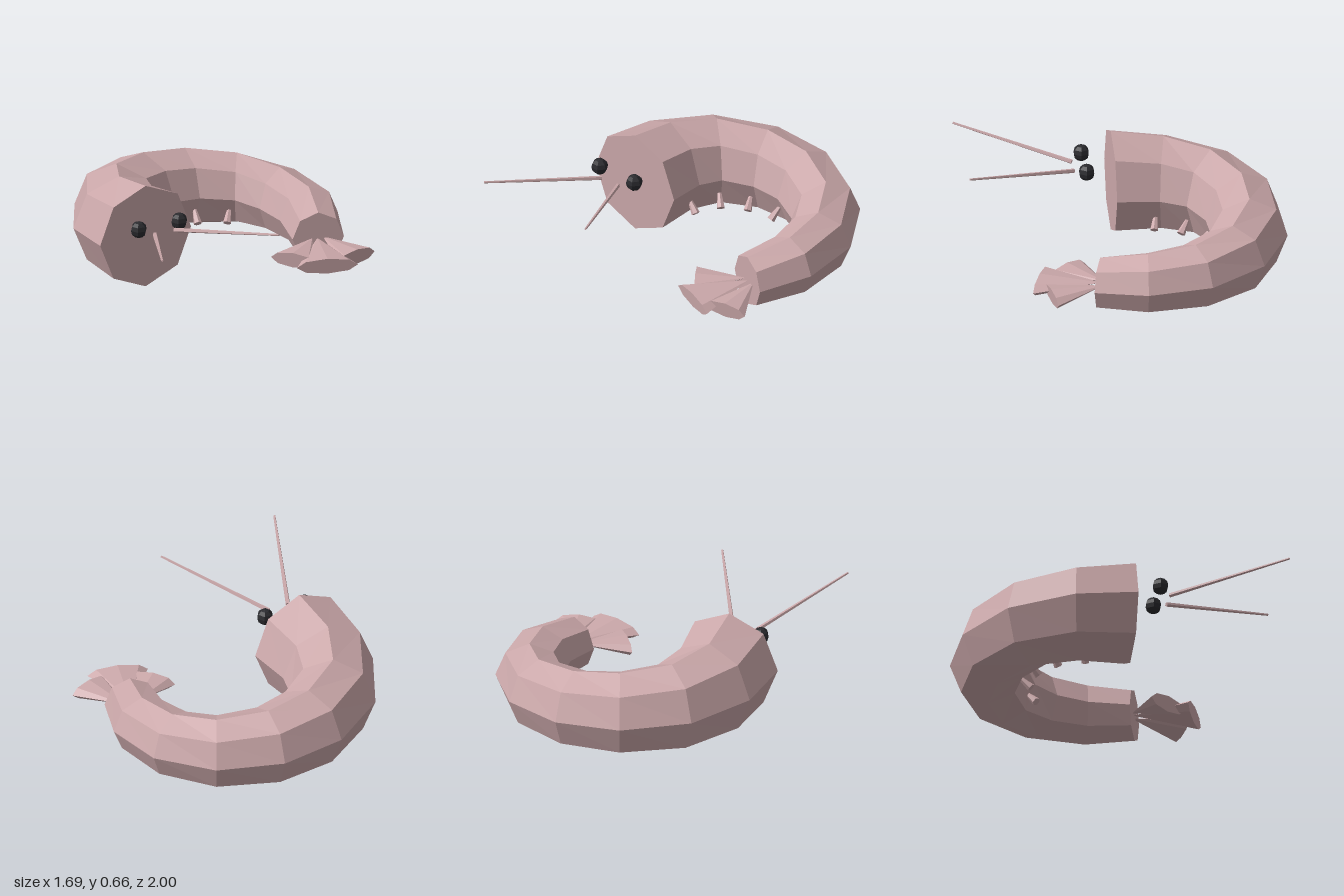
import * as THREE from 'three';

const shell = new THREE.MeshStandardMaterial({ color: 0xcba8aa, flatShading: true });
shell.name = 'pinkShell';
const dark = new THREE.MeshStandardMaterial({ color: 0x2a2a2e, flatShading: true });
dark.name = 'eyeBlack';

const V = (x, y, z) => new THREE.Vector3(x, y, z);

function add(group, name, geometry, material = shell) {
  const mesh = new THREE.Mesh(geometry, material);
  mesh.name = name;
  group.add(mesh);
  return mesh;
}

// Curled body: octagonal rings, each [centreX, centreZ, outerX, outerZ, half height]
const RINGS = [
  [-0.52, 0.05, -0.835, 0.08, 0.328],
  [-0.55, -0.27, -0.84, -0.30, 0.302],
  [-0.44, -0.55, -0.65, -0.70, 0.282],
  [-0.18, -0.73, -0.29, -0.95, 0.263],
  [0.115, -0.77, 0.12, -1.0, 0.245],
  [0.41, -0.66, 0.51, -0.85, 0.225],
  [0.59, -0.43, 0.77, -0.53, 0.205],
  [0.65, -0.14, 0.84, -0.14, 0.19],
  [0.582, 0.147, 0.735, 0.185, 0.165],
];

function bodyGeometry() {
  const n = 8, last = RINGS.length - 1, pos = [], idx = [];
  for (const [cx, cz, ox, oz, h] of RINGS) {
    const cy = h + 0.003;
    for (let j = 0; j < n; j++) {
      const a = (j / n) * Math.PI * 2, c = Math.cos(a);
      pos.push(cx + (ox - cx) * c, cy + h * Math.sin(a), cz + (oz - cz) * c);
    }
  }
  for (let i = 0; i < last; i++) {
    for (let j = 0; j < n; j++) {
      const k = (j + 1) % n;
      const a = i * n + j, b = i * n + k, c = b + n, d = a + n;
      idx.push(a, b, c, a, c, d);
    }
  }
  // flat head and tail ends
  for (let j = 1; j < n - 1; j++) {
    idx.push(0, j + 1, j, last * n, last * n + j, last * n + j + 1);
  }
  const g = new THREE.BufferGeometry();
  g.setAttribute('position', new THREE.Float32BufferAttribute(pos, 3));
  g.setIndex(idx);
  g.computeVertexNormals();
  return g;
}

// Tapered rod from a to b; sx and sz stretch its cross-section sideways and vertically
function rod(group, name, a, b, ra, rb, sides, sx = 1, sz = 1) {
  const axis = b.clone().sub(a);
  const geometry = new THREE.CylinderGeometry(rb, ra, axis.length(), sides);
  const y = axis.clone().normalize();
  const x = V(0, 1, 0).cross(y).normalize();
  const z = x.clone().cross(y);
  geometry.scale(sx, 1, sz);
  geometry.applyMatrix4(new THREE.Matrix4().makeBasis(x, y, z));
  const mid = a.clone().add(b).multiplyScalar(0.5);
  geometry.translate(mid.x, mid.y, mid.z);
  return add(group, name, geometry);
}

export function createModel() {
  const model = new THREE.Group();
  model.name = 'shrimp';

  add(model, 'body', bodyGeometry());

  // Eyes floating in front of the head
  for (const [name, x, z] of [['rightEye', -0.645, 0.225], ['leftEye', -0.365, 0.2]]) {
    add(model, name, new THREE.SphereGeometry(0.052, 6, 6), dark).position.set(x, 0.46, z);
  }

  // Antennae
  rod(model, 'rightAntenna', V(-0.565, 0.437, 0.285), V(-0.84, 0.578, 0.995), 0.014, 0.007, 5);
  rod(model, 'leftAntenna', V(-0.43, 0.44, 0.275), V(-0.028, 0.578, 0.915), 0.014, 0.007, 5);

  // Short legs along the inner side: [tipX, tipY, tipZ, rootX, rootZ]
  const legs = [
    [-0.255, 0.12, -0.205, -0.32, -0.215],
    [-0.205, 0.115, -0.365, -0.26, -0.405],
    [-0.085, 0.105, -0.475, -0.12, -0.535],
    [0.082, 0.1, -0.51, 0.09, -0.575],
    [0.258, 0.09, -0.468, 0.295, -0.52],
  ];
  for (const [x, y, z, rx, rz] of legs) {
    rod(model, 'leg', V(rx, y + 0.065, rz), V(x, y, z), 0.013, 0.026, 6);
  }

  // Tail fan of flattened cones: [apexX, apexZ, baseX, baseZ, half width]
  const lobes = [
    ['rightTailLobe', 0.55, 0.13, 0.33, 0.335, 0.145],
    ['middleTailLobe', 0.58, 0.14, 0.48, 0.505, 0.187],
    ['leftTailLobe', 0.62, 0.13, 0.703, 0.442, 0.14],
  ];
  for (const [name, ax, az, bx, bz, w] of lobes) {
    rod(model, name, V(bx, 0.134, bz), V(ax, 0.165, az), 1, 0, 8, w, 0.05);
  }
  return model;
}
